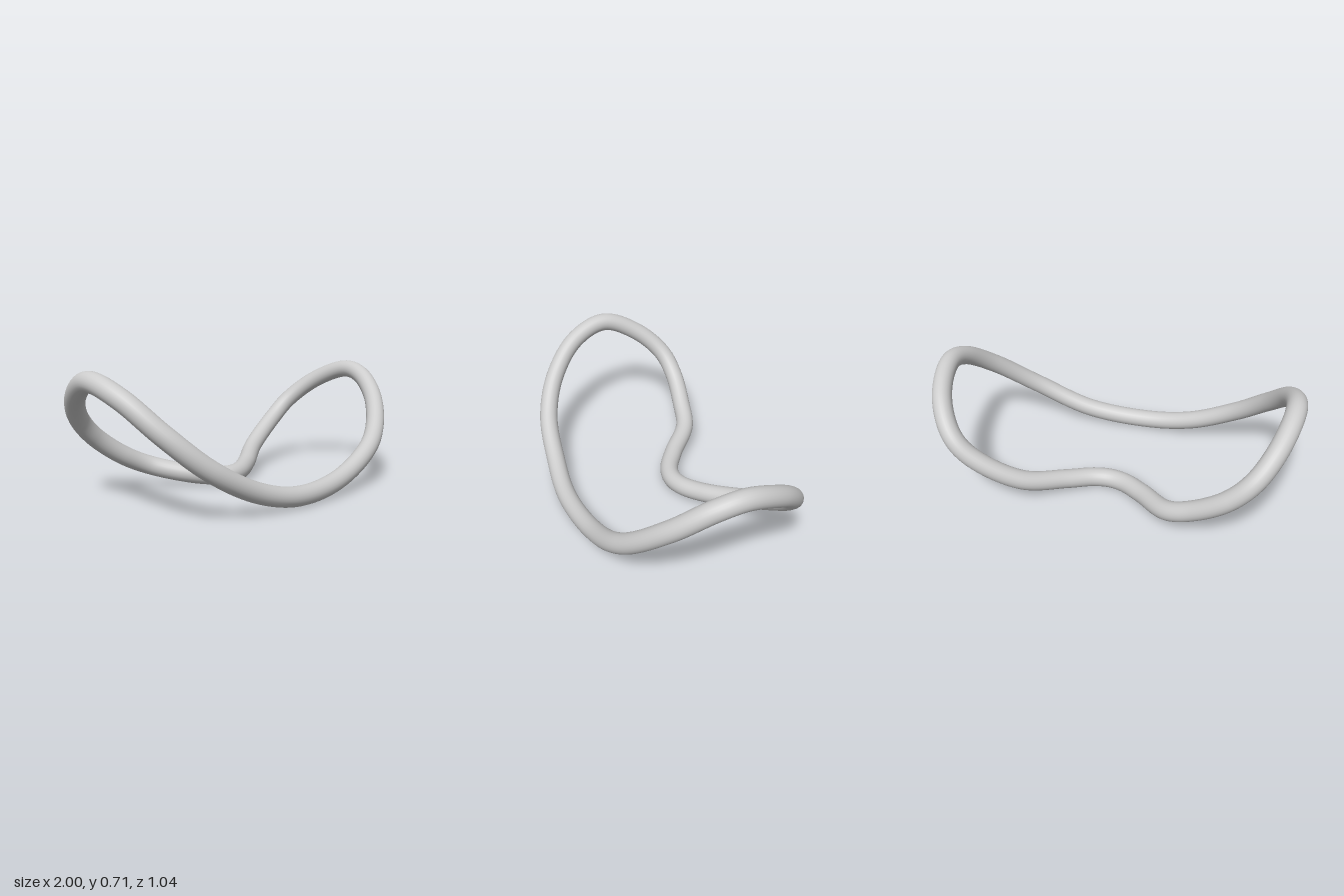
import * as THREE from 'three';

// Closed round rim whose outline is wrapped onto a horizontal cylinder
export function createModel() {
  const tubeRadius = 0.053;

  // Outline seen from above: [x, z]
  const outline = [
    [-0.08, 0.466], [0.3, 0.438], [0.62, 0.387], [0.835, 0.235], [0.928, 0.06],
    [0.945, -0.08], [0.895, -0.3], [0.79, -0.44], [0.68, -0.464], [0.43, -0.4],
    [0.22, -0.25], [0.09, -0.173], [0, -0.155], [-0.09, -0.176], [-0.21, -0.258],
    [-0.38, -0.41], [-0.53, -0.453], [-0.7, -0.472], [-0.81, -0.435],
    [-0.9, -0.3], [-0.947, -0.09], [-0.912, 0.12], [-0.8, 0.295],
    [-0.62, 0.402], [-0.35, 0.445],
  ];

  // Height follows a circular arc, slightly tighter on the -x side
  const height = (x) => {
    const r = x > 0 ? 1.07 : 1.045;
    return tubeRadius + r - Math.sqrt(r * r - x * x);
  };

  const path = new THREE.CatmullRomCurve3(
    outline.map(([x, z]) => new THREE.Vector3(x, height(x), z)), true, 'centripetal');

  const rim = new THREE.Mesh(
    new THREE.TubeGeometry(path, 240, tubeRadius, 24, true),
    new THREE.MeshStandardMaterial({ color: 0xcccccc }));
  rim.name = 'rim';

  const group = new THREE.Group();
  group.name = 'curvedRim';
  group.add(rim);
  return group;
}
